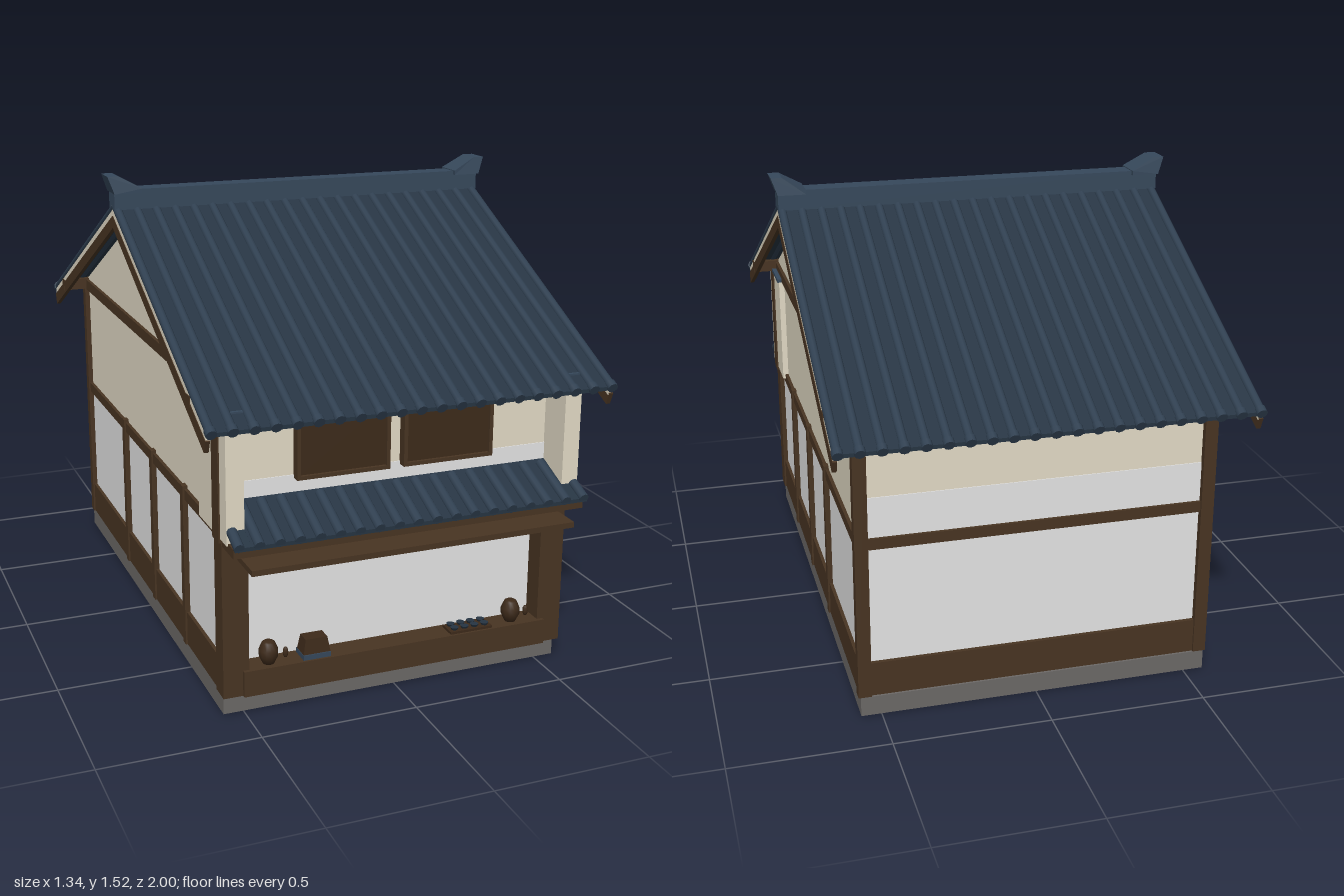
import * as THREE from 'three';

const mat = (name, color) => {
  const m = new THREE.MeshStandardMaterial({ color });
  m.name = name;
  return m;
};

export function createModel() {
  const house = new THREE.Group();
  house.name = 'townhouse';
  const wood = mat('brown wood', 0x483422);
  const darkWood = mat('dark wood', 0x3d2a1a);
  const plaster = mat('cream plaster', 0xe2dac5);
  const white = mat('pale wall', 0xe3e3e3);
  const tile = mat('blue roof tile', 0x2f3f50);
  const pan = mat('dark pan tile', 0x263442);
  const ridgeTile = mat('ridge tile', 0x36485b);
  const stone = mat('grey stone', 0x6b6866);

  const add = (name, geo, material) => {
    const m = new THREE.Mesh(geo, material);
    m.name = name;
    house.add(m);
    return m;
  };
  // box given by its minimum and maximum on each axis
  const box = (name, material, x0, x1, y0, y1, z0, z1) => {
    const g = new THREE.BoxGeometry(x1 - x0, y1 - y0, z1 - z0);
    g.translate((x0 + x1) / 2, (y0 + y1) / 2, (z0 + z1) / 2);
    return add(name, g, material);
  };
  // (z, y) profile extruded across x, from x0 to x1
  const across = (name, material, pts, x0, x1) => {
    const shape = new THREE.Shape(pts.map(p => new THREE.Vector2(...p)));
    const g = new THREE.ExtrudeGeometry(shape, { depth: x1 - x0, bevelEnabled: false });
    g.rotateY(-Math.PI / 2).translate(x1, 0, 0);
    return add(name, g, material);
  };
  // round tile running down a slope at fixed x
  const rib = (name, x, y0, z0, y1, z1, r) => {
    const a = new THREE.Vector3(x, y0, z0), d = new THREE.Vector3(0, y1 - y0, z1 - z0);
    const g = new THREE.CylinderGeometry(r, r, d.length(), 10);
    const m = add(name, g, tile);
    m.quaternion.setFromUnitVectors(new THREE.Vector3(0, 1, 0), d.clone().normalize());
    m.position.copy(a).addScaledVector(d, 0.5);
  };
  const sides = [-1, 1];
  // box mirrored to both sides of the house
  const pair = (name, material, x0, x1, ...rest) => sides.forEach(s =>
    box(name, material, Math.min(s * x0, s * x1), Math.max(s * x0, s * x1), ...rest));

  // foundation with a pale underside, and walls
  box('foundation', stone, -0.565, 0.565, 0.003, 0.067, -0.835, 0.835);
  box('floorUnderside', white, -0.556, 0.556, 0, 0.006, -0.826, 0.826);
  box('lowerWall', white, -0.555, 0.555, 0.06, 0.575, -0.815, 0.79);
  across('upperWall', plaster, [
    [-0.815, 0.57], [0.8, 0.57], [0.8, 1.02], [0, 1.405], [-0.815, 1.015],
  ], -0.555, 0.555);
  box('middleWall', white, -0.53, 0.53, 0.585, 0.73, -0.818, 0.803);
  box('lintel', plaster, -0.5, 0.5, 0.53, 0.575, 0.78, 0.8);

  // timber frame
  pair('frontPost', wood, 0.49, 0.572, 0.067, 0.57, 0.79, 0.86);
  pair('upperFrontPost', wood, 0.53, 0.58, 0.57, 1.0, 0.8, 0.86);
  pair('rearPost', wood, 0.53, 0.572, 0.067, 1.005, -0.835, -0.8);
  pair('sideSkirt', wood, 0.54, 0.566, 0.067, 0.18, -0.81, 0.81);
  pair('sideRail', wood, 0.54, 0.566, 0.565, 0.6, -0.81, 0.81);
  pair('eaveRail', wood, 0.54, 0.566, 0.972, 1.01, -0.81, 0.81);
  for (const z of [0.455, 0.09, -0.27])
    pair('sidePost', wood, 0.54, 0.572, 0.067, 0.61, z - 0.015, z + 0.015);
  for (const [y0, y1] of [[0.067, 0.18], [0.565, 0.6], [0.972, 1.005]])
    box('rearRail', wood, -0.54, 0.54, y0, y1, -0.828, -0.8);
  box('frontPurlin', wood, -0.651, 0.651, 0.975, 1.015, 0.8, 0.832);
  box('rearPurlin', wood, -0.651, 0.651, 0.975, 1.015, -0.832, -0.8);

  // shop front
  box('counter', wood, -0.51, 0.51, 0.067, 0.15, 0.78, 0.872);
  box('frontBeam', wood, -0.57, 0.57, 0.56, 0.59, 0.8, 0.965);
  box('awningPlank', wood, -0.525, 0.525, 0.512, 0.53, 0.85, 0.995);

  // upper windows
  for (const x of [-0.175, 0.17]) {
    box('windowPanel', darkWood, x - 0.14, x + 0.14, 0.73, 0.93, 0.8, 0.822);
    for (const s of sides) {
      box('windowStile', wood, x + s * 0.144 - 0.006, x + s * 0.144 + 0.006, 0.72, 0.935, 0.8, 0.832);
      box('windowFrameRail', wood, x - 0.14, x + 0.14, s < 0 ? 0.72 : 0.923, s < 0 ? 0.732 : 0.935, 0.8, 0.832);
    }
  }

  // projecting wing walls with little tile caps
  pair('wingWall', plaster, 0.52, 0.575, 0.583, 0.972, 0.655, 0.918);
  pair('wingCap', ridgeTile, 0.515, 0.582, 0.972, 0.985, 0.645, 0.925);

  // awning
  across('awningDeck', pan, [[0.79, 0.67], [0.985, 0.588], [0.985, 0.6], [0.79, 0.682]], -0.52, 0.52);
  for (const s of sides)
    across('awningEnd', pan, [[0.915, 0.617], [0.985, 0.588], [0.985, 0.6], [0.915, 0.629]],
      s < 0 ? -0.572 : 0.52, s < 0 ? -0.52 : 0.572);
  for (let i = -9; i <= 9; i++) {
    const x = i * 0.0622, outer = Math.abs(i) > 8;
    rib('awningTile', x, outer ? 0.628 : 0.669, outer ? 0.92 : 0.82, 0.6, 0.988, 0.016);
  }

  // main roof
  const slope = 0.48;
  across('roofDeck', pan, [
    [-0.985, 0.939], [0, 1.412], [0.985, 0.939], [0.985, 0.951], [0, 1.424], [-0.985, 0.951],
  ], -0.645, 0.645);
  for (const s of sides) for (let i = -10; i <= 10; i++) {
    const x = i * 0.0637;
    rib('roofTile', x, 1.423, 0, 1.423 - slope * 0.985, s * 0.985, 0.014);
    rib('eaveTile', x, 0.957, s * 0.972, 0.947, s * 0.992, 0.017);
  }

  // barge boards under both gable edges, with a plaster strip above
  for (const s of sides) {
    across('bargeBoard', wood, [
      [-0.96, 0.888], [0, 1.352], [0.96, 0.888], [0.975, 0.925], [0, 1.392], [-0.975, 0.925],
    ], s < 0 ? -0.65 : 0.636, s < 0 ? -0.636 : 0.65);
    across('gableStrip', plaster, [
      [-0.97, 0.92], [0, 1.385], [0.97, 0.92], [0.97, 0.947], [0, 1.413], [-0.97, 0.947],
    ], s < 0 ? -0.648 : 0.634, s < 0 ? -0.634 : 0.648);
  }

  // ridge with upturned, flared ends
  box('ridge', ridgeTile, -0.65, 0.65, 1.415, 1.48, -0.035, 0.035);
  for (const s of sides) {
    const shape = new THREE.Shape([[0.56, 1.468], [0.652, 1.468], [0.672, 1.525], [0.636, 1.525], [0.56, 1.483]]
      .map(([x, y]) => new THREE.Vector2(s * x, y)));
    const g = new THREE.ExtrudeGeometry(shape, { depth: 0.1, bevelEnabled: false }).translate(0, 0, -0.05);
    const p = g.attributes.position;
    for (let i = 0; i < p.count; i++) if (p.getY(i) > 1.5) p.setZ(i, p.getZ(i) * 0.84);
    g.computeVertexNormals();
    add('ridgeEnd', g, ridgeTile);
  }

  // goods on the counter
  const jar = [[0, 0], [0.018, 0], [0.03, 0.025], [0.03, 0.045], [0.02, 0.068], [0.014, 0.072], [0, 0.072]]
    .map(p => new THREE.Vector2(...p));
  for (const [x, cup] of [[-0.42, -0.365], [0.405, 0.46]]) {
    add('jar', new THREE.LatheGeometry(jar, 12), darkWood).position.set(x, 0.15, 0.835);
    add('gourd', new THREE.SphereGeometry(0.018, 8, 6).scale(0.5, 1, 0.5), darkWood).position.set(cup, 0.175, 0.835);
  }
  box('basketMat', ridgeTile, -0.317, -0.228, 0.15, 0.166, 0.8, 0.865);
  const basket = new THREE.CylinderGeometry(0.05, 0.062, 0.048, 4, 1).rotateY(Math.PI / 4).scale(1, 1, 0.65);
  basket.deleteAttribute('normal');
  const basketFlat = basket.toNonIndexed();
  basketFlat.computeVertexNormals();
  add('basket', basketFlat, darkWood).position.set(-0.272, 0.19, 0.833);
  box('tray', darkWood, 0.18, 0.325, 0.15, 0.158, 0.805, 0.865);
  for (let i = 0; i < 4; i++) for (const z of [0.82, 0.848])
    add('dish', new THREE.CylinderGeometry(0.014, 0.009, 0.009, 8), pan).position.set(0.2 + i * 0.035, 0.162, z);

  return house;
}
